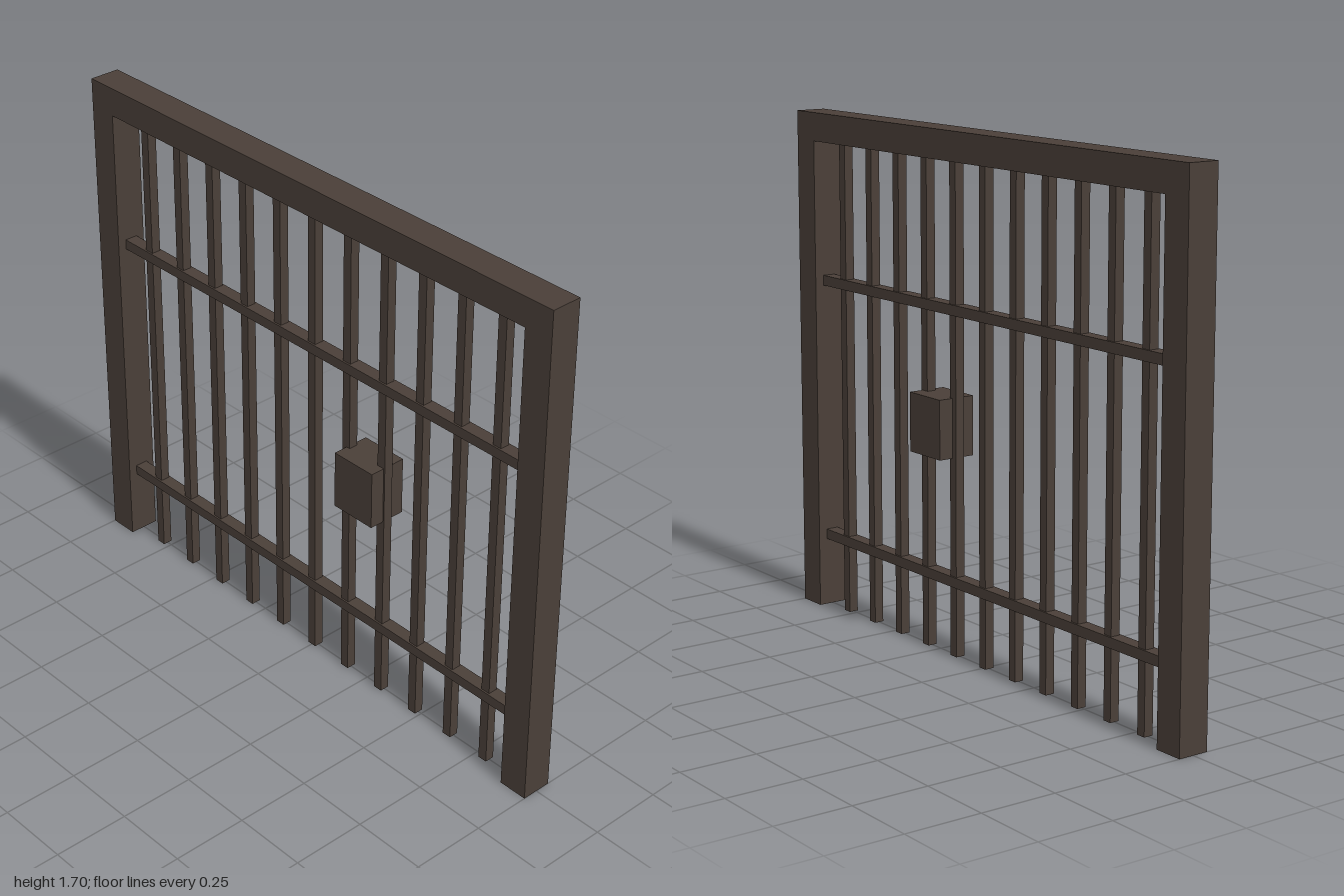
import * as THREE from 'three';

export function createModel() {
  const gate = new THREE.Group();
  gate.name = 'barredGate';
  const iron = new THREE.MeshStandardMaterial({ color: 0x4a3f38 });
  iron.name = 'darkIron';

  // Adds a box spanning the given ranges, centred on z = 0
  function addBox(name, x0, x1, y0, y1, depth) {
    const mesh = new THREE.Mesh(new THREE.BoxGeometry(x1 - x0, y1 - y0, depth), iron);
    mesh.position.set((x0 + x1) / 2, (y0 + y1) / 2, 0);
    mesh.name = name;
    gate.add(mesh);
  }

  // Outer frame
  const frameDepth = 0.104;
  addBox('leftPost', 0.9, 1, 0, 1.605, frameDepth);
  addBox('rightPost', -1, -0.9, 0, 1.605, frameDepth);
  addBox('topBeam', -1, 1, 1.605, 1.7, frameDepth);

  // Evenly spaced square upright bars
  for (let i = -5; i <= 5; i++) {
    const x = i * 0.157;
    addBox('uprightBar' + (i + 6), x - 0.016, x + 0.016, 0, 1.605, 0.032);
  }

  // Cross rails between the posts
  addBox('lowerRail', -0.9, 0.9, 0.233, 0.267, 0.044);
  addBox('upperRail', -0.9, 0.9, 1.117, 1.151, 0.044);

  // Lock box
  addBox('lockBox', 0.16, 0.325, 0.655, 0.85, 0.13);

  return gate;
}
